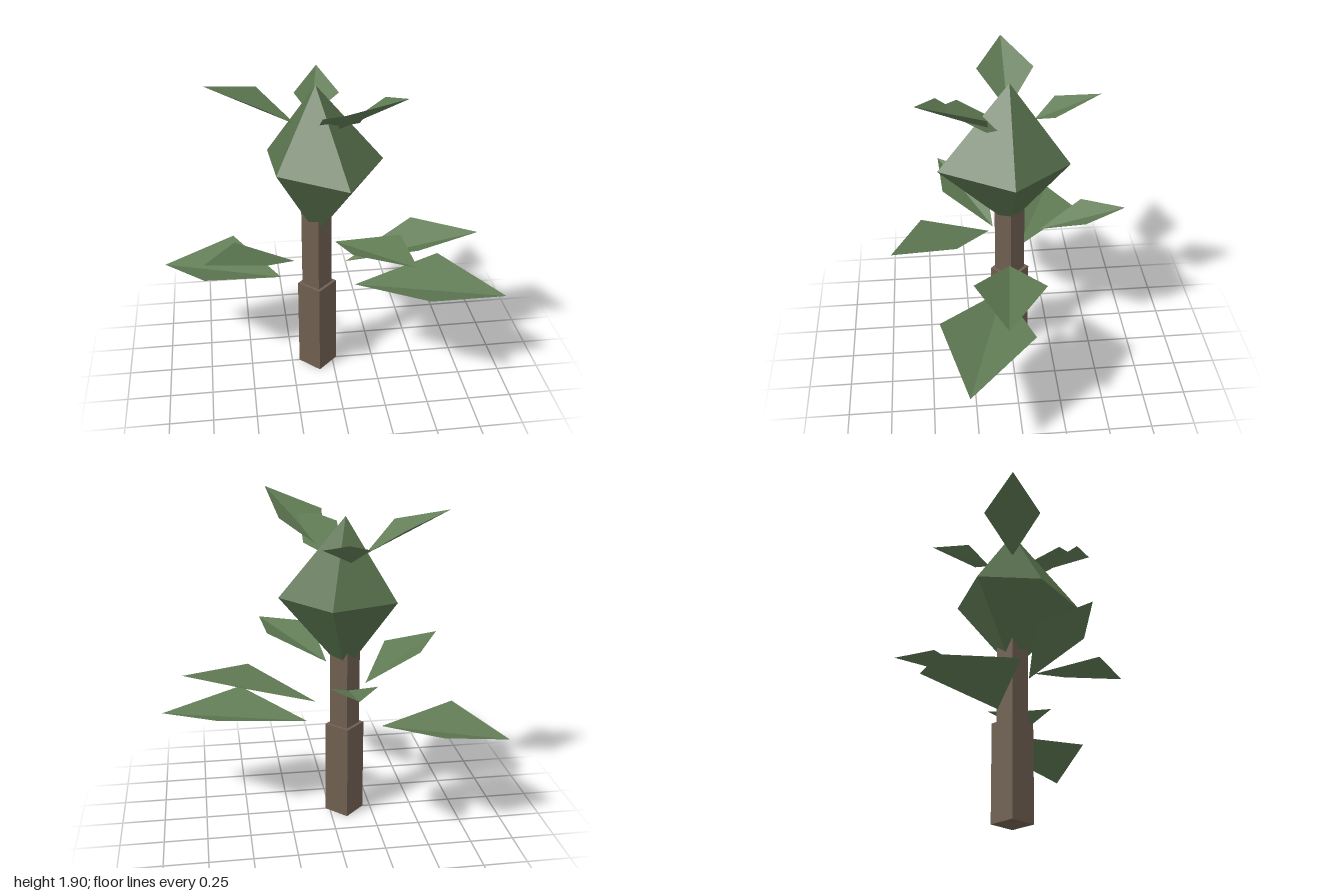
import * as THREE from 'three';

const AXIS_X = -0.09; // the trunk stands slightly off centre

const bark = new THREE.MeshStandardMaterial({ color: 0x6e5f50, flatShading: true });
const foliage = new THREE.MeshStandardMaterial({ color: 0x566f4b, flatShading: true });
const leafGreen = new THREE.MeshStandardMaterial({ color: 0x5f7a53, flatShading: true, side: THREE.DoubleSide });

// Flat-shaded mesh from a list of triangles, each a trio of points
function facets(name, triangles, material) {
  const geometry = new THREE.BufferGeometry();
  geometry.setAttribute('position', new THREE.Float32BufferAttribute(triangles.flat(2), 3));
  geometry.computeVertexNormals();
  const mesh = new THREE.Mesh(geometry, material);
  mesh.name = name;
  return mesh;
}

// Leaf folded along the rib from base to tip
function leaf(name, base, tip, sideA, sideB) {
  const up = (a, b, c) => (b[2] - a[2]) * (c[0] - a[0]) - (b[0] - a[0]) * (c[2] - a[2]) > 0;
  const wind = (a, b, c) => (up(a, b, c) ? [a, b, c] : [a, c, b]);
  return facets(name, [wind(base, tip, sideA), wind(base, tip, sideB)], leafGreen);
}

// Square trunk section with corners on the axes
function trunkSection(name, radius, bottom, top) {
  const mesh = new THREE.Mesh(new THREE.CylinderGeometry(radius, radius, top - bottom, 4), bark);
  mesh.position.set(AXIS_X, (bottom + top) / 2, 0);
  mesh.name = name;
  return mesh;
}

export function createModel() {
  const group = new THREE.Group();
  group.name = 'tree';

  group.add(trunkSection('lowerTrunk', 0.115, 0, 0.57));
  group.add(trunkSection('upperTrunk', 0.088, 0.57, 1.1));

  // Crown: two five-sided pyramids sharing an uneven ring
  const ring = [[0.29, 0], [0.045, 0.41], [-0.325, 0.165], [-0.35, -0.2], [0.03, -0.33]]
    .map(([x, z]) => [x, 1.36, z]);
  const top = [AXIS_X, 1.81, 0], bottom = [AXIS_X, 0.9, 0];
  const crown = [];
  ring.forEach((p, i) => {
    const q = ring[(i + 1) % ring.length];
    crown.push([top, q, p], [bottom, p, q]);
  });
  group.add(facets('crown', crown, foliage));

  // Leaves: base, tip, and the two side corners
  const leaves = {
    lowerLeftLeaf: [[0.13, 0.57, 0.06], [0.99, 0.57, 0.3], [0.505, 0.665, 0.44], [0.66, 0.665, -0.08]],
    lowerRightLeaf: [[-0.3, 0.57, -0.08], [-1, 0.555, -0.34], [-0.57, 0.655, -0.475], [-0.755, 0.655, 0.04]],
    middleLeftLeaf: [[0.08, 0.71, 0.015], [0.85, 0.89, 0.085], [0.5, 0.885, -0.155], [0.46, 0.885, 0.245]],
    middleRightLeaf: [[-0.23, 0.78, 0.09], [-0.74, 0.98, 0.405], [-0.405, 0.94, 0.385], [-0.57, 0.945, 0.12]],
    middleBackLeaf: [[-0.08, 0.85, -0.18], [-0.055, 0.99, -0.68], [-0.2, 0.97, -0.44], [0.065, 0.97, -0.43]],
    middleFrontLeaf: [[0, 0.915, 0.13], [0.357, 1.043, 0.68], [0.045, 1.048, 0.515], [0.335, 1.045, 0.325]],
    upperFrontLeaf: [[0.02, 1.6, 0.125], [0.313, 1.902, 0.505], [0.265, 1.78, 0.145], [-0.012, 1.78, 0.4]],
    upperRightLeaf: [[-0.2, 1.59, 0], [-0.685, 1.83, 0], [-0.4, 1.755, -0.165], [-0.4, 1.755, 0.16]],
    upperBackLeaf: [[-0.1, 1.58, -0.14], [-0.03, 1.755, -0.49], [-0.185, 1.675, -0.26], [0.07, 1.675, -0.23]],
  };
  for (const [name, points] of Object.entries(leaves)) group.add(leaf(name, ...points));

  // Small six-sided leaflet sloping up over the front leaf
  const rim = [[0.02, 0.06], [-0.085, 0.12], [-0.085, 0.285], [0.03, 0.345], [0.13, 0.345], [0.13, 0.14]]
    .map(([x, z]) => [x, 1.625 + 0.62 * (z - 0.12), z]);
  const leaflet = [];
  for (let i = 1; i < 5; i++) leaflet.push([rim[0], rim[i], rim[i + 1]]);
  group.add(facets('leaflet', leaflet, leafGreen));

  return group;
}
